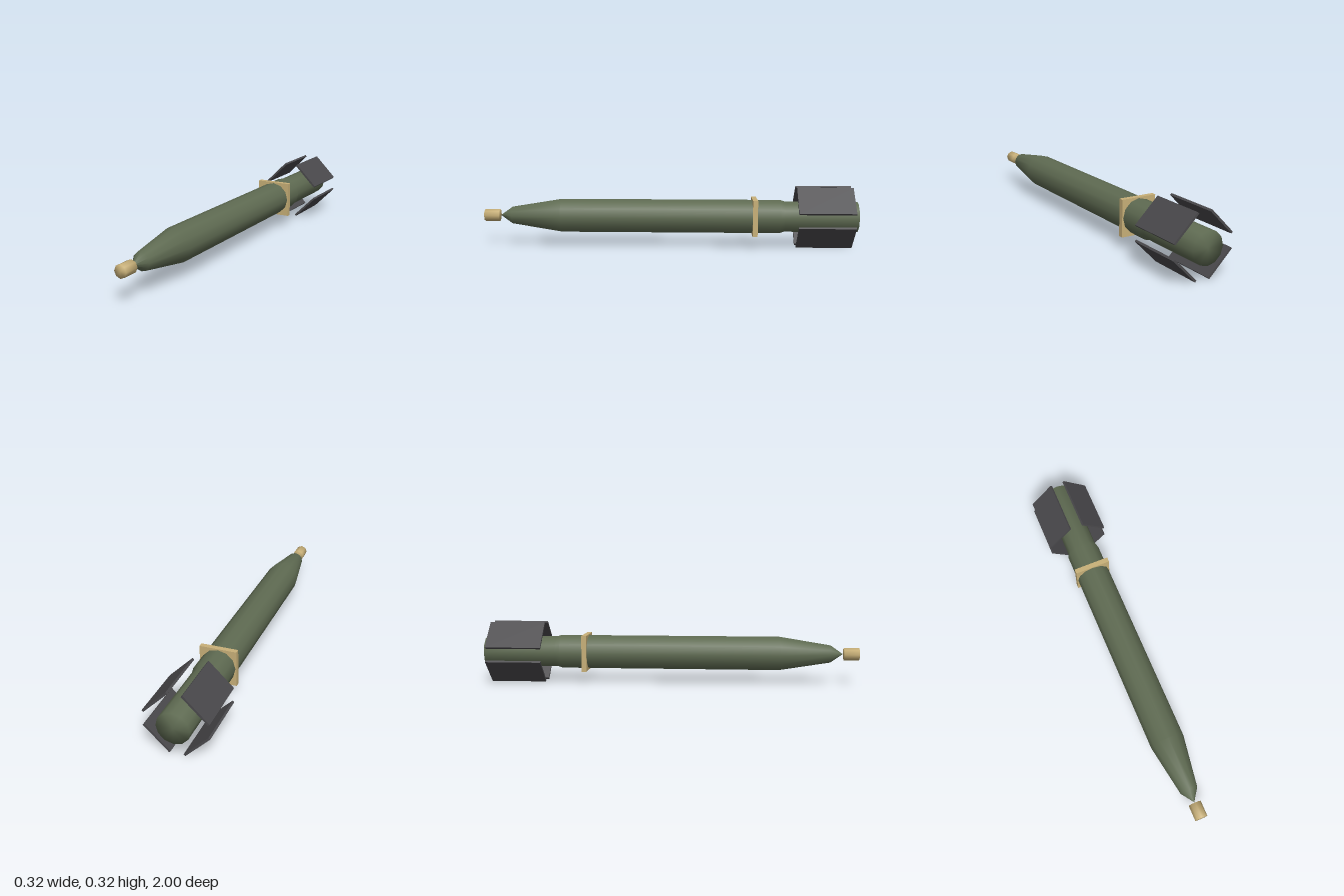
import * as THREE from 'three';

const AXIS_Y = 0.163;

function material(color) {
  return new THREE.MeshStandardMaterial({ color });
}

// Lathe a [radius, z] profile (rear to front) around the z axis
function turned(name, profile, sides, mat) {
  const points = profile.map(([r, z]) => new THREE.Vector2(r, z));
  const geometry = new THREE.LatheGeometry(points, sides).rotateX(Math.PI / 2);
  const mesh = new THREE.Mesh(geometry, mat);
  mesh.name = name;
  return mesh;
}

export function createModel() {
  const model = new THREE.Group();
  model.name = 'rocket';
  const green = material(0x5f6b52);
  const tan = material(0xc8b078);
  const dark = material(0x4a494c);

  const axis = new THREE.Group();
  axis.name = 'rocketAssembly';
  axis.position.y = AXIS_Y;
  model.add(axis);

  // Body with stepped tail and tapered nose
  axis.add(turned('body', [
    [0, -1], [0.082, -1], [0.082, -0.615], [0.09, -0.59],
    [0.09, 0.58], [0.046, 0.85], [0, 0.915],
  ], 12, green));

  // Nose fuse
  axis.add(turned('noseFuse', [
    [0, 0.92], [0.033, 0.92], [0.033, 1], [0, 1],
  ], 8, tan));

  // Square collar
  const collar = new THREE.Mesh(new THREE.BoxGeometry(0.191, 0.191, 0.026), tan);
  collar.name = 'collar';
  collar.position.z = -0.455;
  axis.add(collar);

  // Four tail plates, set tangentially around the tail
  const finGeometry = new THREE.BoxGeometry(0.011, 0.172, 0.295);
  for (let i = 0; i < 4; i++) {
    const angle = Math.PI / 4 + (i * Math.PI) / 2;
    const fin = new THREE.Mesh(finGeometry, dark);
    fin.name = `tailFin${i + 1}`;
    fin.position.set(Math.cos(angle) * 0.136, Math.sin(angle) * 0.136, -0.8225);
    fin.rotation.z = angle;
    axis.add(fin);
  }

  return model;
}
